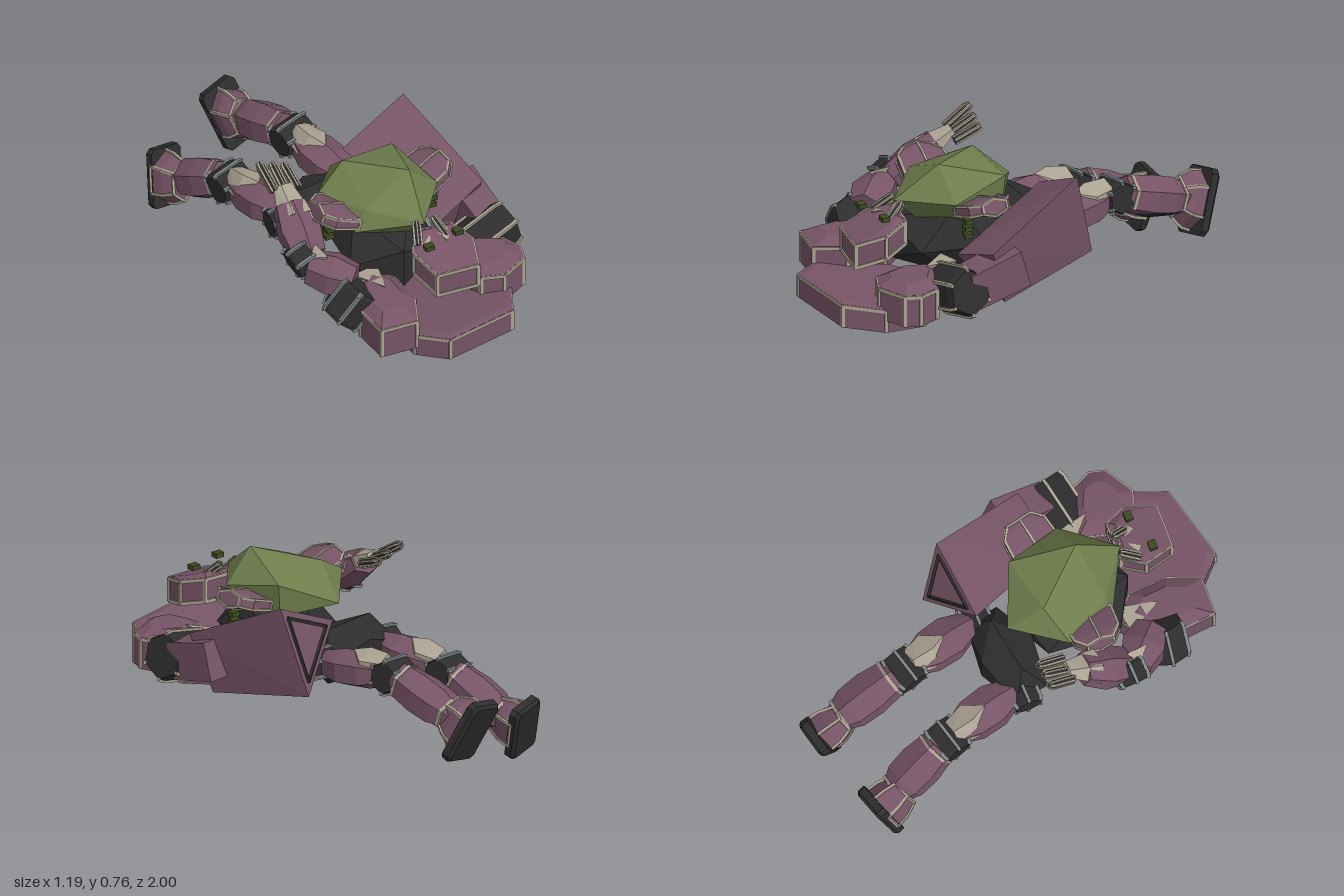
import * as THREE from 'three';
import { ConvexGeometry } from 'three/addons/geometries/ConvexGeometry.js';
import { mergeGeometries } from 'three/addons/utils/BufferGeometryUtils.js';

const V = (x, y, z) => new THREE.Vector3(x, y, z);
const P = (a) => V(...a);

export function createModel() {
  const root = new THREE.Group();
  root.name = 'fallenMachine';
  const paint = (name, color) => {
    const m = new THREE.MeshStandardMaterial({ color });
    m.name = name;
    return m;
  };
  const plum = paint('plum armour', 0x765466);
  const dark = paint('charcoal frame', 0x2d2d2d);
  const green = paint('olive shell', 0x6f7d4c);
  const ivory = paint('ivory trim', 0xaba392);
  const steel = paint('steel trim', 0x7c8586);
  const moss = paint('dark moss', 0x3d4a20);

  const add = (name, geometry, material, parent = root) => {
    const mesh = new THREE.Mesh(geometry, material);
    mesh.name = name;
    parent.add(mesh);
    return mesh;
  };
  const loop = (ring) => ring.map((p, i) => [p, ring[(i + 1) % ring.length]]);

  // Thin strips along a list of edges, as one mesh
  const strips = (name, edges, material, w, parent) => {
    const geos = edges.map(([a, b]) => {
      const g = new THREE.BoxGeometry(w, w, a.distanceTo(b) + w * 0.4);
      const o = new THREE.Object3D();
      o.position.copy(a).add(b).multiplyScalar(0.5);
      o.lookAt(b);
      o.updateMatrix();
      return g.applyMatrix4(o.matrix);
    });
    add(name, mergeGeometries(geos), material, parent);
  };

  // Convex hull through rings of points
  const hull = (name, rings, material) => {
    const g = new THREE.Group();
    g.name = name;
    root.add(g);
    add(name + 'Body', new ConvexGeometry(rings.flat()), material, g);
    return g;
  };

  // Faceted limb from a to b; each station is [t, half width, half height]
  const limb = (name, a, b, stations, sides, material, { trim, w = 0.012, ends = true, roll = 0 } = {}) => {
    const A = P(a), B = P(b);
    const axis = B.clone().sub(A).normalize();
    const side = axis.clone().cross(V(0, 1, 0)).normalize().applyAxisAngle(axis, -roll);
    const up = side.clone().cross(axis);
    const rings = stations.map(([t, rw, rh]) => Array.from({ length: sides }, (_, i) => {
      const q = (i + 0.5) / sides * Math.PI * 2;
      return A.clone().lerp(B, t).addScaledVector(side, Math.cos(q) * rw).addScaledVector(up, Math.sin(q) * rh);
    }));
    const g = hull(name, rings, material);
    if (trim) {
      const edges = ends ? [...loop(rings[0]), ...loop(rings.at(-1))] : [];
      rings.slice(1).forEach((ring, k) => ring.forEach((p, i) => edges.push([rings[k][i], p])));
      strips(name + 'Trim', edges, trim, w, g);
    }
  };
  const joint = (name, a, b, r, trim = steel) => limb(name, a, b,
    [[0, r * 0.92, r * 0.92], [0.12, r, r], [0.88, r, r], [1, r * 0.92, r * 0.92]], 6, dark, { trim, w: 0.014, ends: false });

  // Slab from an x,z outline, sloping with z, trimmed just under the rim, with a raised crown
  const slab = (name, outline, bottom, rim, crown, inset, slope, z0, baseTrim = false) => {
    const cx = outline.reduce((s, p) => s + p[0], 0) / outline.length;
    const cz = outline.reduce((s, p) => s + p[1], 0) / outline.length;
    const ring = (y, k) => outline.map(([x, z]) => V(cx + (x - cx) * k, y + (z0 - z) * slope, cz + (z - cz) * k));
    const low = ring(bottom + 0.007, 0.985), high = ring(rim - 0.009, 0.985);
    const g = hull(name, [ring(bottom, 1), ring(rim, 1), ring(crown, inset)], plum);
    strips(name + 'Trim', [...loop(high), ...(baseTrim ? loop(low) : []), ...low.map((p, i) => [p, high[i]])], ivory, 0.016, g);
  };

  // Shell, torso and pelvis
  add('shell', new ConvexGeometry([
    [0.10, 0.757, 0.38], [-0.106, 0.72, 0.14], [-0.08, 0.575, -0.02], [-0.265, 0.62, 0.2],
    [-0.19, 0.55, 0.43], [-0.14, 0.65, 0.42], [0.07, 0.605, 0.577], [0.25, 0.62, 0.354],
    [0.165, 0.685, 0.09], [0.15, 0.53, 0.1], [0.05, 0.49, 0.46], [-0.11, 0.48, 0.2], [0.14, 0.48, 0.28],
  ].map(P)), green);
  const core = (name, pos, scale, turn) => {
    const m = add(name, new THREE.IcosahedronGeometry(1, 0), dark);
    m.position.set(...pos);
    m.scale.set(...scale);
    m.rotation.y = turn;
  };
  core('torso', [0, 0.39, 0.31], [0.25, 0.18, 0.31], -0.1);
  core('pelvis', [-0.12, 0.36, -0.04], [0.25, 0.15, 0.15], 0.15);

  // Breast plates
  slab('lowerPlate', [[-0.13, 0.87], [-0.015, 0.99], [0.33, 0.915], [0.41, 0.74], [0.36, 0.54],
    [0.2, 0.43], [0.02, 0.44], [-0.13, 0.62]], 0.175, 0.285, 0.29, 0.9, -0.12, 1);
  slab('rightBlock', [[-0.29, 0.87], [-0.12, 0.88], [-0.06, 0.74], [-0.07, 0.56], [-0.16, 0.47],
    [-0.26, 0.55], [-0.305, 0.7]], 0.2, 0.35, 0.385, 0.6, 0.02, 0.88);
  slab('leftBlock', [[0.37, 0.76], [0.5, 0.69], [0.52, 0.62], [0.48, 0.53], [0.36, 0.47],
    [0.26, 0.46], [0.22, 0.6], [0.27, 0.73]], 0.2, 0.35, 0.385, 0.6, 0.02, 0.76);
  const wedge = (name, pts) => add(name, new ConvexGeometry(pts.map(P)), ivory);
  wedge('rightCollar', [[-0.24, 0.385, 0.5], [-0.11, 0.385, 0.48], [-0.16, 0.398, 0.66], [-0.17, 0.3, 0.54]]);
  wedge('leftCollar', [[0.21, 0.385, 0.41], [0.31, 0.385, 0.37], [0.34, 0.398, 0.53], [0.29, 0.3, 0.46]]);

  // Head with brow wedges, eyes, horns and side vents
  slab('head', [[-0.025, 0.66], [0.02, 0.8], [0.215, 0.81], [0.255, 0.68], [0.2, 0.57], [0.03, 0.56]],
    0.375, 0.495, 0.508, 0.75, 0.3, 0.81, true);
  wedge('rightBrow', [[-0.005, 0.562, 0.6], [0.095, 0.582, 0.575], [0.055, 0.559, 0.675], [0.04, 0.5, 0.6]]);
  wedge('leftBrow', [[0.1, 0.582, 0.575], [0.195, 0.562, 0.6], [0.135, 0.559, 0.675], [0.15, 0.5, 0.6]]);
  const chip = (name, x, y, z) => add(name, new THREE.BoxGeometry(0.042, 0.022, 0.035), moss).position.set(x, y, z);
  chip('rightEye', 0.025, 0.585, 0.71);
  chip('leftEye', 0.19, 0.585, 0.665);
  [0.54, 0.505, 0.47].forEach((y, i) => {
    chip('leftVent', 0.255 - i * 0.004, y, 0.3);
    chip('rightVent', -0.246 - i * 0.005, y, 0.3);
  });
  const prong = (name, a, b) => limb(name, a, b, [[0, 0.019, 0.019], [0.85, 0.019, 0.019], [1, 0.012, 0.012]], 6, dark,
    { trim: ivory, w: 0.008, ends: false });
  prong('rightHorn', [0.01, 0.55, 0.64], [0.04, 0.615, 0.56]);
  prong('leftHorn', [0.15, 0.55, 0.63], [0.12, 0.615, 0.56]);

  // Shoulder pads beside the shell
  const pad = [[0, 0.13, 0.04], [0.7, 0.12, 0.045], [1, 0.07, 0.04]];
  limb('rightShoulder', [-0.17, 0.585, 0.32], [-0.325, 0.637, 0.32], pad, 6, plum, { trim: ivory, w: 0.01 });
  limb('leftShoulder', [0.2, 0.58, 0.24], [0.345, 0.63, 0.21], pad, 6, plum, { trim: ivory, w: 0.01 });

  // Right arm, folded up to an open hand
  joint('rightUpperJoint', [-0.26, 0.41, 0.63], [-0.37, 0.28, 0.62], 0.1);
  limb('rightUpperArm', [-0.27, 0.42, 0.58], [-0.42, 0.45, 0.44], [[0, 0.08, 0.07], [0.5, 0.11, 0.095], [1, 0.08, 0.08]], 6, plum);
  wedge('rightArmGuard', [[-0.46, 0.5, 0.43], [-0.38, 0.545, 0.42], [-0.37, 0.54, 0.52], [-0.4, 0.44, 0.46]]);
  joint('rightElbow', [-0.49, 0.46, 0.41], [-0.4, 0.495, 0.405], 0.075);
  limb('rightForearm', [-0.405, 0.48, 0.4], [-0.395, 0.62, 0.2], [[0, 0.085, 0.065], [0.5, 0.105, 0.078], [1, 0.078, 0.058]], 6, plum);
  limb('rightPalm', [-0.395, 0.59, 0.26], [-0.39, 0.675, 0.13], [[0, 0.085, 0.062], [1, 0.045, 0.02]], 5, ivory);
  [[-0.435, 0.665, -0.45, 0.745], [-0.385, 0.655, -0.388, 0.72], [-0.325, 0.645, -0.33, 0.695]].forEach(([x, y, X, Y]) =>
    prong('finger', [x, y, 0.14], [X, Y, 0.02]));

  // Left arm
  joint('leftElbow', [0.32, 0.28, 0.455], [0.56, 0.345, 0.405], 0.113, ivory);
  limb('leftForearm', [0.475, 0.33, 0.38], [0.45, 0.4, 0.14], [[0, 0.1, 0.12], [1, 0.105, 0.125]], 4, plum);

  // Tapered three-sided weapon housing with a framed rear opening
  const rear = [[0.355, 0.714, -0.17], [0.275, 0.31, -0.27], [0.03, 0.56, -0.12]].map(P);
  hull('weaponHousing', [rear, [[0.51, 0.485, 0.28], [0.44, 0.215, 0.2], [0.25, 0.385, 0.35]].map(P)], plum);
  const mid = rear[0].clone().add(rear[1]).add(rear[2]).divideScalar(3);
  const out = rear[2].clone().sub(rear[0]).cross(rear[1].clone().sub(rear[0])).normalize();
  if (out.z > 0) out.negate();
  const frame = (k) => loop(rear.map((p) => mid.clone().lerp(p, k).addScaledVector(out, 0.001)));
  strips('weaponRearFrame', frame(0.72), dark, 0.014);

  // Legs: thigh, ivory knee guard, knee joint, shin with dark underside, boot and sole
  const leg = (side, hip, socket, knee, ankle, sole, normal, half, h, roll) => {
    const s = P(sole), n = P(normal).normalize();
    const at = (p, x, y, z) => [p[0] + x, p[1] + y, p[2] + z];
    const along = (d) => s.clone().addScaledVector(n, d).toArray();
    const mix = (a, b, t) => P(a).lerp(P(b), t).toArray();
    const band = (name, a, b, t, rw, rh) => limb(side + name, mix(a, b, t), mix(a, b, t + 0.04), [[0, rw, rh], [1, rw, rh]], 6, ivory);
    joint(side + 'Hip', at(socket, -0.07, 0, 0), at(socket, 0.07, 0.01, 0), 0.07);
    limb(side + 'Thigh', hip, knee, [[0, 0.06, 0.06], [0.3, 0.105, 0.085], [0.6, 0.1, 0.085], [0.85, 0.06, 0.06]], 6, plum);
    limb(side + 'KneeGuard', mix(at(hip, 0, 0.012, 0), at(knee, 0, 0.012, 0), 0.42), at(knee, 0, 0.012, 0),
      [[0, 0.01, 0.08], [0.35, 0.085, 0.092], [0.8, 0.06, 0.08]], 5, ivory);
    joint(side + 'Knee', at(knee, -0.076, -0.015, 0.035), at(knee, 0.076, 0.005, -0.005), 0.078);
    limb(side + 'Shin', knee, ankle, [[0.08, 0.085, 0.082], [0.45, 0.105, 0.095], [0.75, 0.1, 0.09], [1, 0.06, 0.06]], 6, plum);
    limb(side + 'Calf', at(mix(knee, ankle, 0.15), 0, -0.025, 0), at(mix(knee, ankle, 0.9), 0, -0.025, 0),
      [[0, 0.06, 0.06], [0.5, 0.08, 0.078], [1, 0.055, 0.06]], 6, dark);
    band('ShinBand', knee, ankle, 0.14, 0.093, 0.09);
    band('AnkleBand', knee, ankle, 0.88, 0.085, 0.08);
    limb(side + 'Boot', along(-0.13), along(-0.01), [[0, 0.07, 0.09], [0.5, 0.092, h * 0.85], [1, 0.097, h * 0.9]], 6, plum, { trim: ivory, roll });
    // Sole with cut corners
    const up = V(0, 1, 0).addScaledVector(n, -n.y).normalize().applyAxisAngle(n, -roll);
    const across = n.clone().cross(up);
    const ring = (d, e) => [[1, 0.85], [0.8, 1], [-0.8, 1], [-1, 0.85], [-1, -0.85], [-0.8, -1], [0.8, -1], [1, -0.85]].map(([x, y]) =>
      P(along(d)).addScaledVector(across, x * (half - e)).addScaledVector(up, y * (h - e)));
    hull(side + 'Sole', [ring(-0.022, 0), ring(0.012, 0), ring(0.026, 0.012)], dark);
  };
  leg('left', [0.07, 0.37, -0.13], [0.09, 0.36, -0.1], [-0.025, 0.415, -0.5], [-0.09, 0.31, -0.84],
    [-0.115, 0.27, -0.92], [-0.14, -0.38, -0.92], 0.092, 0.15, 0.25);
  leg('right', [-0.28, 0.35, -0.07], [-0.3, 0.34, -0.04], [-0.365, 0.32, -0.44], [-0.455, 0.175, -0.72],
    [-0.495, 0.145, -0.795], [-0.28, -0.27, -0.92], 0.085, 0.135, -0.2);

  return root;
}
